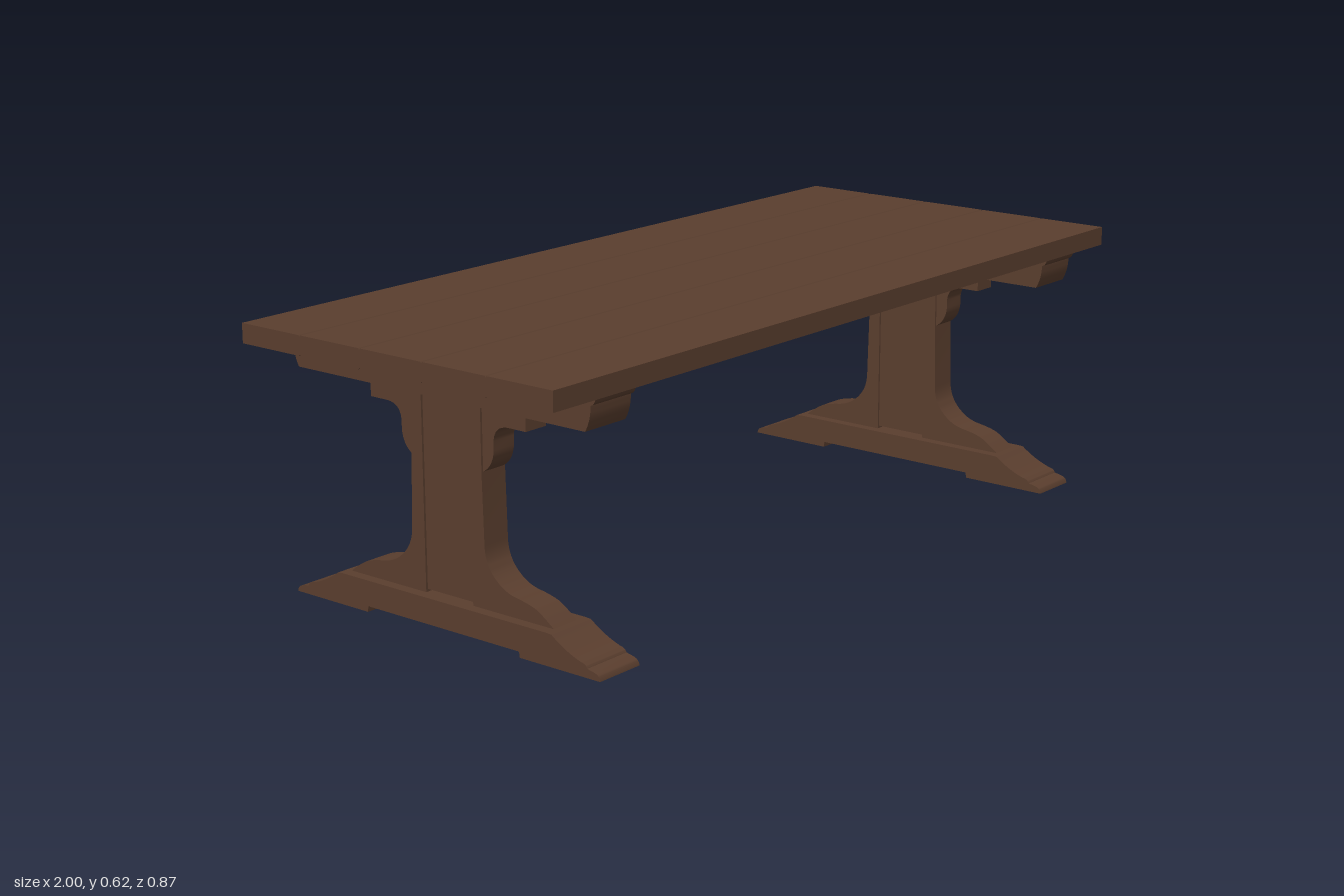
import * as THREE from 'three';
import { toCreasedNormals } from 'three/addons/utils/BufferGeometryUtils.js';

const wood = new THREE.MeshStandardMaterial({ color: 0x5a3e2e });
wood.name = 'dark wood';

// Extrudes a (z, y) outline along x, centred on x = 0
function slab(name, shape, width) {
  const geo = new THREE.ExtrudeGeometry(shape, { depth: width, bevelEnabled: false, curveSegments: 8 });
  geo.translate(0, 0, -width / 2).rotateY(-Math.PI / 2);
  const mesh = new THREE.Mesh(toCreasedNormals(geo, 0.5), wood);
  mesh.name = name;
  return mesh;
}

// Points of [z, y] become lines; [cz, cy, z, y] become quadratic curves
function outline(steps, side = 1) {
  const shape = new THREE.Shape();
  steps.forEach((p, i) => {
    if (i === 0) shape.moveTo(side * p[0], p[1]);
    else if (p.length === 2) shape.lineTo(side * p[0], p[1]);
    else shape.quadraticCurveTo(side * p[0], p[1], side * p[2], p[3]);
  });
  return shape;
}

// Closed outline mirrored about z = 0 from a half profile
function symmetric(steps) {
  const half = outline(steps).getPoints(8);
  const other = half.map(p => new THREE.Vector2(-p.x, p.y)).reverse();
  return new THREE.Shape([...half, ...other]);
}

const FOOT = [
  [0.217, 0.013], [0.219, 0.012, 0.22, 0], [0.437, 0], [0.437, 0.012, 0.422, 0.016], [0.403, 0.02],
  [0.4, 0.029, 0.385, 0.031], [0.345, 0.043, 0.308, 0.07], [0.293, 0.071],
];
const BEAM = [
  [0.405, 0.51], [0.42, 0.535, 0.42, 0.565], [0.429, 0.567, 0.433, 0.58],
];
const STILE = [
  [0.068, 0.51], [0.1, 0.51], [0.1, 0.365], [0.104, 0.21],
  [0.104, 0.165, 0.14, 0.137], [0.16, 0.12, 0.19, 0.115],
  [0.225, 0.11, 0.245, 0.102], [0.265, 0.092, 0.293, 0.07], [0.068, 0.07],
];
const BRACKET = [
  [0.1, 0.51], [0.22, 0.51], [0.22, 0.47], [0.17, 0.47],
  [0.134, 0.468, 0.131, 0.435], [0.131, 0.415], [0.128, 0.38, 0.1, 0.365],
];

function makeTrestle() {
  const trestle = new THREE.Group();
  trestle.add(slab('foot', symmetric(FOOT), 0.12), slab('crossBeam', symmetric(BEAM), 0.12));
  for (const side of [1, -1]) {
    trestle.add(slab('stile', outline(STILE, side), 0.07));
    trestle.add(slab('bracket', outline(BRACKET, side), 0.06));
  }
  // Centre panel stops short of the beam and foot
  const panel = new THREE.Mesh(new THREE.BoxGeometry(0.06, 0.428, 0.136), wood);
  panel.name = 'centrePanel';
  panel.position.y = 0.291;
  trestle.add(panel);
  return trestle;
}

export function createModel() {
  const table = new THREE.Group();
  table.name = 'trestleTable';

  // Five planks with slightly chamfered long edges
  const w = 0.0873, c = 0.003, y0 = 0.58, y1 = 0.624;
  for (let i = 0; i < 5; i++) {
    const a = i === 0 ? 0 : c, b = i === 4 ? 0 : c;
    const points = [[-w + a, y0], [w - b, y0]];
    if (b) points.push([w, y0 + b], [w, y1 - b]);
    points.push([w - b, y1], [-w + a, y1]);
    if (a) points.push([-w, y1 - a], [-w, y0 + a]);
    const plank = slab('plank' + (i + 1), outline(points), 2);
    plank.position.z = (i - 2) * 2 * w;
    table.add(plank);
  }

  // Matching trestles at both ends
  for (const [name, x] of [['leftTrestle', 0.815], ['rightTrestle', -0.815]]) {
    const trestle = makeTrestle();
    trestle.name = name;
    trestle.position.x = x;
    table.add(trestle);
  }
  return table;
}
